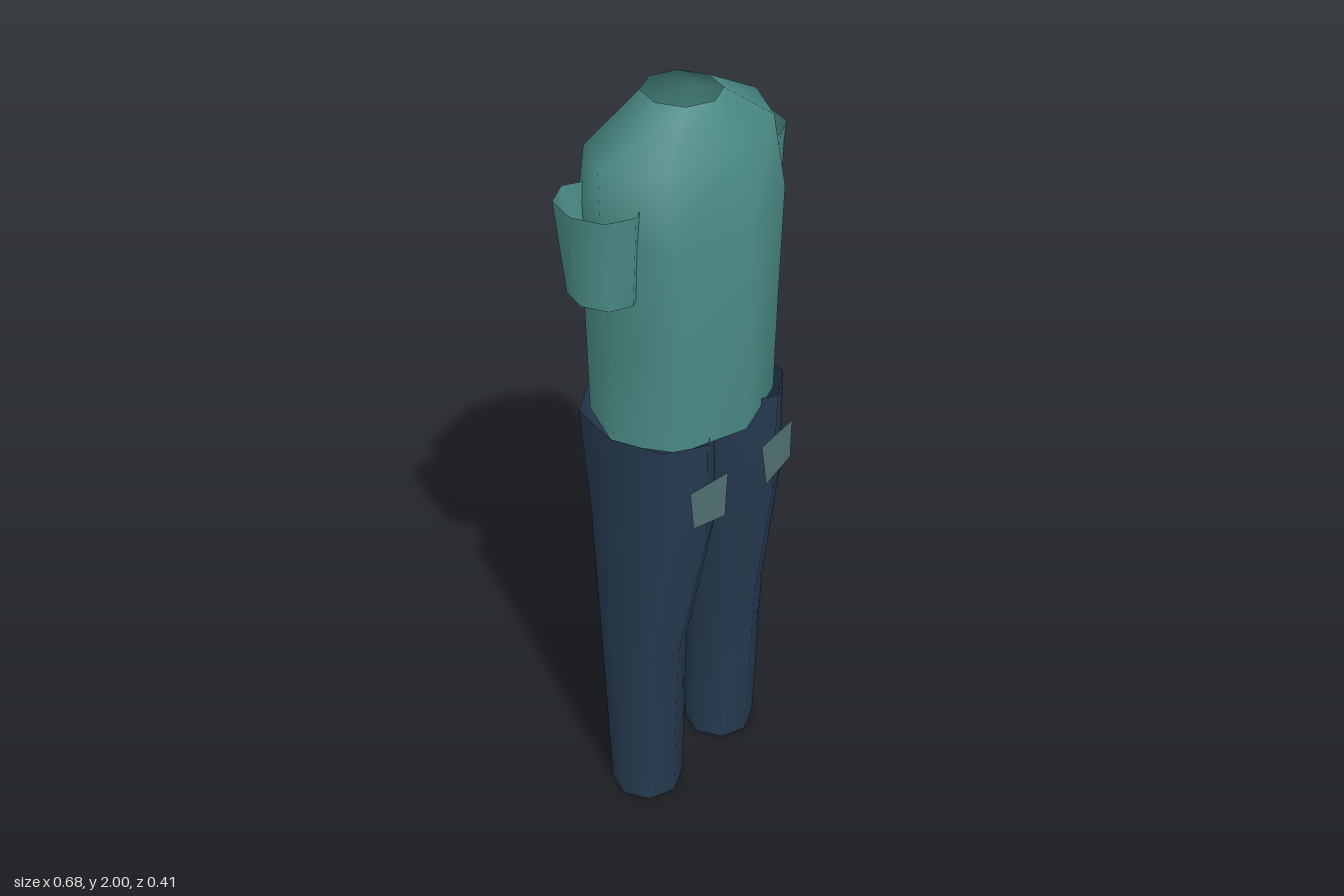
import * as THREE from 'three';

const SIDES = 8;

// Open tube through oval rings, listed bottom to top as [y, xMin, xMax, zMin, zMax]
function ovalTube(rings) {
  const pos = [], idx = [];
  rings.forEach(([y, x0, x1, z0, z1], i) => {
    for (let j = 0; j < SIDES; j++) {
      const a = (j / SIDES) * Math.PI * 2;
      pos.push((x0 + x1) / 2 + ((x1 - x0) / 2) * Math.sin(a), y,
        (z0 + z1) / 2 + ((z1 - z0) / 2) * Math.cos(a));
      if (i === 0) continue;
      const k = (j + 1) % SIDES, lo = (i - 1) * SIDES, hi = i * SIDES;
      idx.push(lo + j, lo + k, hi + k, lo + j, hi + k, hi + j);
    }
  });
  return surface(pos, idx);
}

function surface(pos, idx) {
  const g = new THREE.BufferGeometry();
  g.setAttribute('position', new THREE.Float32BufferAttribute(pos, 3));
  g.setIndex(idx);
  g.computeVertexNormals();
  return g;
}

// Same rings reflected to the other side of the body
const mirrorRings = (rings, s) =>
  rings.map(([y, x0, x1, z0, z1]) => (s > 0 ? [y, x0, x1, z0, z1] : [y, -x1, -x0, z0, z1]));

export function createModel() {
  const model = new THREE.Group();
  model.name = 'outfit';
  const cloth = (name, color) => {
    const m = new THREE.MeshStandardMaterial({ color, side: THREE.DoubleSide });
    m.name = name;
    return m;
  };
  const teal = cloth('teal shirt', 0x4a8a85);
  const navy = cloth('navy denim', 0x263a50);
  const grey = cloth('grey pocket', 0x4f6e70);
  const add = (name, geometry, material) => {
    const mesh = new THREE.Mesh(geometry, material);
    mesh.name = name;
    model.add(mesh);
  };

  // Shirt body, open at neck and hem
  add('shirtBody', ovalTube([
    [1.178, -0.25, 0.25, -0.2, 0.2],
    [1.45, -0.252, 0.252, -0.207, 0.207],
    [1.73, -0.274, 0.274, -0.205, 0.203],
    [1.9, -0.27, 0.27, -0.168, 0.155],
    [2.0, -0.09, 0.09, -0.096, 0.092],
  ]), teal);

  const leg = [
    [0, 0.058, 0.25, -0.09, 0.1],
    [0.52, 0.053, 0.26, -0.113, 0.12],
    [0.9, -0.003, 0.264, -0.153, 0.186],
    [1.2, 0.004, 0.262, -0.19, 0.19],
  ];
  const sleeve = [
    [1.59, 0.175, 0.325, -0.106, 0.07],
    [1.818, 0.16, 0.34, -0.135, 0.083],
  ];

  for (const s of [1, -1]) {
    const side = s > 0 ? 'left' : 'right';
    add(side + 'TrouserLeg', ovalTube(mirrorRings(leg, s)), navy);
    add(side + 'Sleeve', ovalTube(mirrorRings(sleeve, s)), teal);

    // Patch pocket standing just off the front of the leg
    const corners = [
      s * 0.065, 1.085, 0.198, s * 0.195, 1.092, 0.19,
      s * 0.188, 0.985, 0.194, s * 0.08, 0.965, 0.203,
    ];
    add(side + 'Pocket', surface(corners, s > 0 ? [0, 2, 1, 0, 3, 2] : [0, 1, 2, 0, 2, 3]), grey);
  }
  return model;
}
